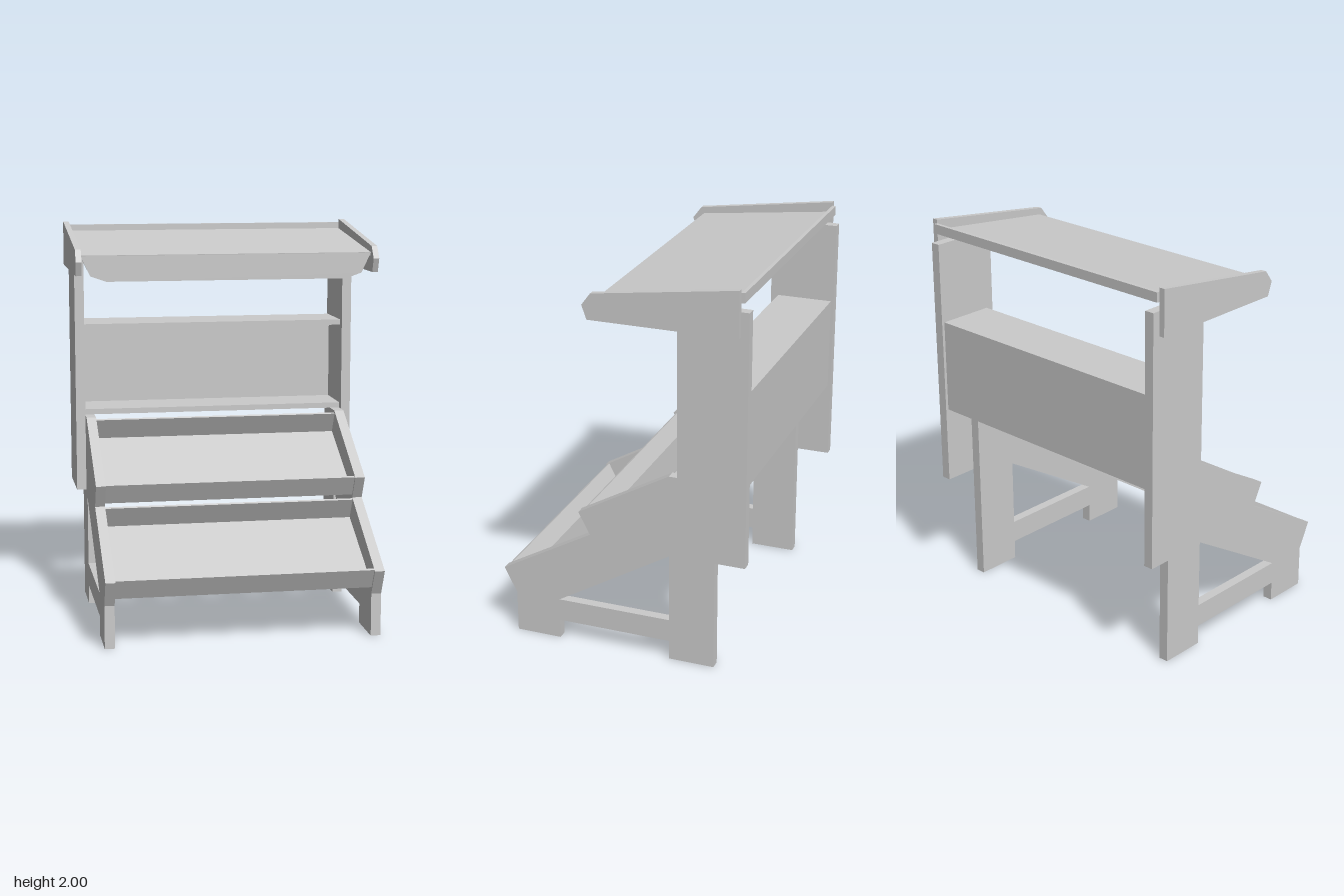
import * as THREE from 'three';

const material = new THREE.MeshStandardMaterial({ color: 0xcccccc, side: THREE.DoubleSide });

// Extrudes a side profile of [z, y] points along x, from x0 to x1.
function slab(name, profile, x0, x1, holes = []) {
  const toPoints = (list) => list.map(([z, y]) => new THREE.Vector2(-z, y));
  const shape = new THREE.Shape(toPoints(profile));
  for (const hole of holes) shape.holes.push(new THREE.Path(toPoints(hole)));
  const geometry = new THREE.ExtrudeGeometry(shape, { depth: x1 - x0, bevelEnabled: false });
  geometry.rotateY(Math.PI / 2).translate(x0, 0, 0);
  const mesh = new THREE.Mesh(geometry, material);
  mesh.name = name;
  return mesh;
}

// Gives a folded [z, y] path a thickness, with mitred corners.
function foldedProfile(path, thickness) {
  const pts = path.map(([z, y]) => new THREE.Vector2(z, y));
  const normal = (a, b) => {
    const d = b.clone().sub(a).normalize();
    return new THREE.Vector2(-d.y, d.x);
  };
  const inner = pts.map((p, i) => {
    const before = normal(pts[Math.max(i - 1, 0)], pts[Math.max(i, 1)]);
    const last = pts.length - 1;
    const after = normal(pts[Math.min(i, last - 1)], pts[Math.min(i + 1, last)]);
    const mitre = before.clone().add(after).normalize();
    const q = p.clone().addScaledVector(mitre, thickness / mitre.dot(before));
    return [q.x, q.y];
  });
  return [...path, ...inner.reverse()];
}

export function createModel() {
  const group = new THREE.Group();

  // Stepped side frames with a triangular opening
  const frame = [
    [0.585, 0], [0.585, 0.215], [0.65, 0.345], [0.175, 0.615], [0.235, 0.73],
    [-0.24, 1], [-0.475, 1], [-0.475, 0], [-0.24, 0], [-0.24, 0.1], [0.35, 0.1], [0.35, 0],
  ];
  const opening = [[0.35, 0.218], [-0.24, 0.218], [-0.24, 0.572]];

  // Upper posts and roof ends
  const post = [[-0.3, 0.605], [-0.3, 1.89], [-0.645, 1.89], [-0.645, 0.605]];
  const roofEnd = [[0.135, 1.77], [0.16, 1.84], [0.115, 1.9], [-0.605, 2], [-0.605, 1.77]];

  for (const side of [1, -1]) {
    const span = (a, b) => (side > 0 ? [a, b] : [-b, -a]);
    const prefix = side > 0 ? 'left' : 'right';
    group.add(slab(prefix + 'SideFrame', frame, ...span(0.638, 0.688), [opening]));
    group.add(slab(prefix + 'UpperPost', post, ...span(0.688, 0.737), []));
    group.add(slab(prefix + 'RoofEnd', roofEnd, ...span(0.737, 0.766), []));
  }

  // Two tilted display trays: front lip, board, back lip
  const tray = [[0.64, 0.35], [0.59, 0.25], [0.11, 0.495], [0.172, 0.61]];
  [[0, 0], [-0.418, 0.38]].forEach(([dz, dy], i) => {
    const path = tray.map(([z, y]) => [z + dz, y + dy]);
    group.add(slab(i ? 'upperTray' : 'lowerTray', foldedProfile(path, -0.012), -0.638, 0.638));
  });

  // Back shelf unit: bottom shelf, back board, top shelf
  const cabinet = [[-0.34, 1], [-0.63, 1], [-0.63, 1.478], [-0.34, 1.478]];
  group.add(slab('backShelf', foldedProfile(cabinet, -0.028), -0.688, 0.688));

  // Sloping roof board with an upturned back edge
  const roof = [[0.1, 1.868], [-0.605, 1.95], [-0.605, 1.982]];
  group.add(slab('roofBoard', foldedProfile(roof, 0.018).map(([z, y]) => [Math.min(z, 0.1), y]), -0.737, 0.737));

  // Hanging valance with cut corners
  const valanceShape = new THREE.Shape([
    [-0.737, 1.865], [-0.69, 1.765], [-0.61, 1.737], [0.61, 1.737], [0.69, 1.765], [0.737, 1.865],
  ].map(([x, y]) => new THREE.Vector2(x, y)));
  const valance = new THREE.Mesh(
    new THREE.ExtrudeGeometry(valanceShape, { depth: 0.012, bevelEnabled: false }), material);
  valance.name = 'valance';
  valance.position.z = 0.088;
  group.add(valance);

  return group;
}
